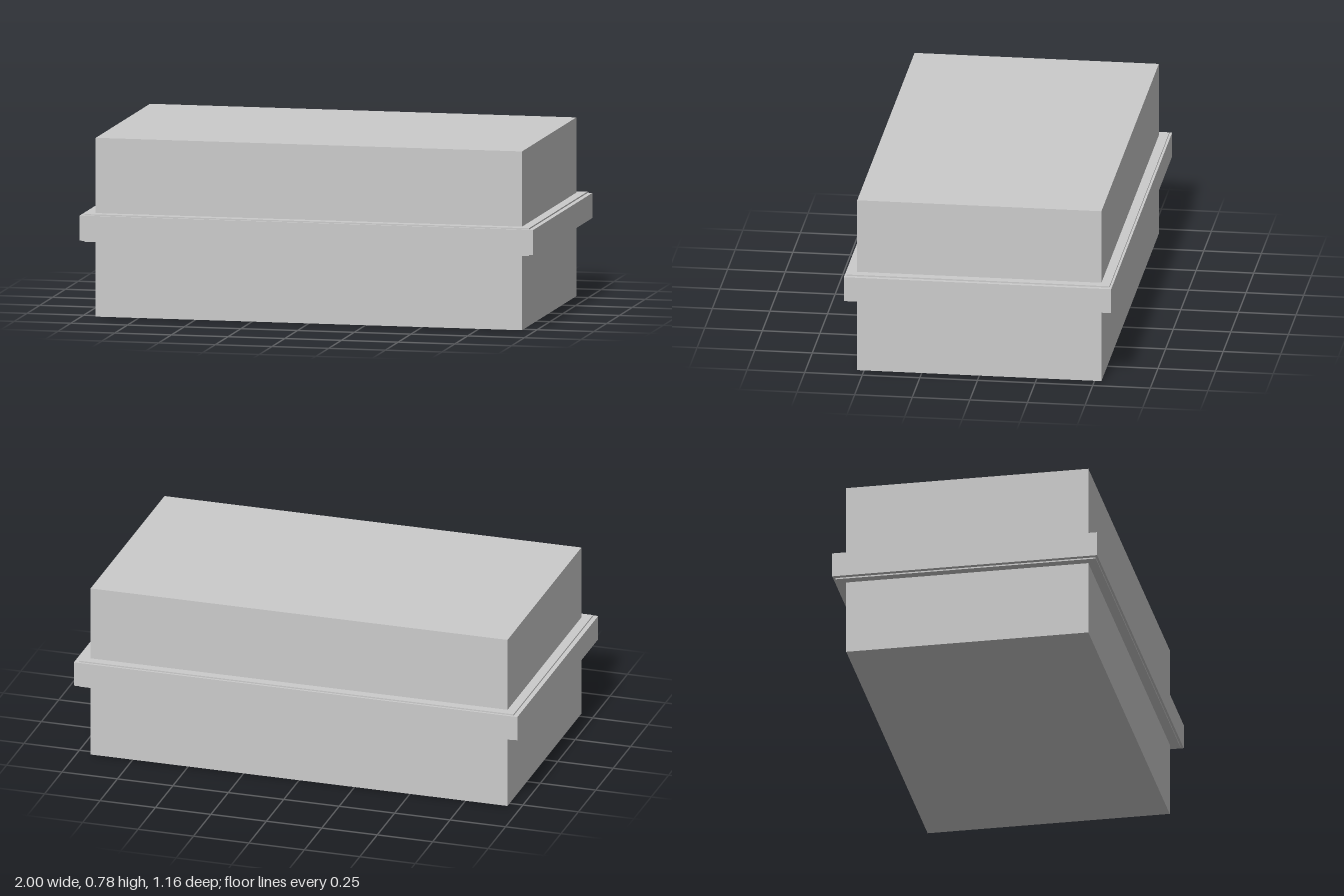
import * as THREE from 'three';

const material = new THREE.MeshStandardMaterial({ color: 0xcccccc });

// Box centred on x and z, spanning bottom to top in y
function slab(name, width, depth, bottom, top) {
  const mesh = new THREE.Mesh(new THREE.BoxGeometry(width, top - bottom, depth), material);
  mesh.name = name;
  mesh.position.y = (bottom + top) / 2;
  return mesh;
}

export function createModel() {
  const model = new THREE.Group();
  model.name = 'case';

  // Main body, running through the rim
  model.add(slab('body', 1.88, 1.06, 0, 0.777));

  // Rim around the middle, with a thin raised lip above and below
  const rim = new THREE.Group();
  rim.name = 'rim';
  rim.add(slab('rimBand', 2, 1.16, 0.335, 0.444));
  rim.add(slab('rimLip', 1.96, 1.14, 0.329, 0.45));
  model.add(rim);

  return model;
}
